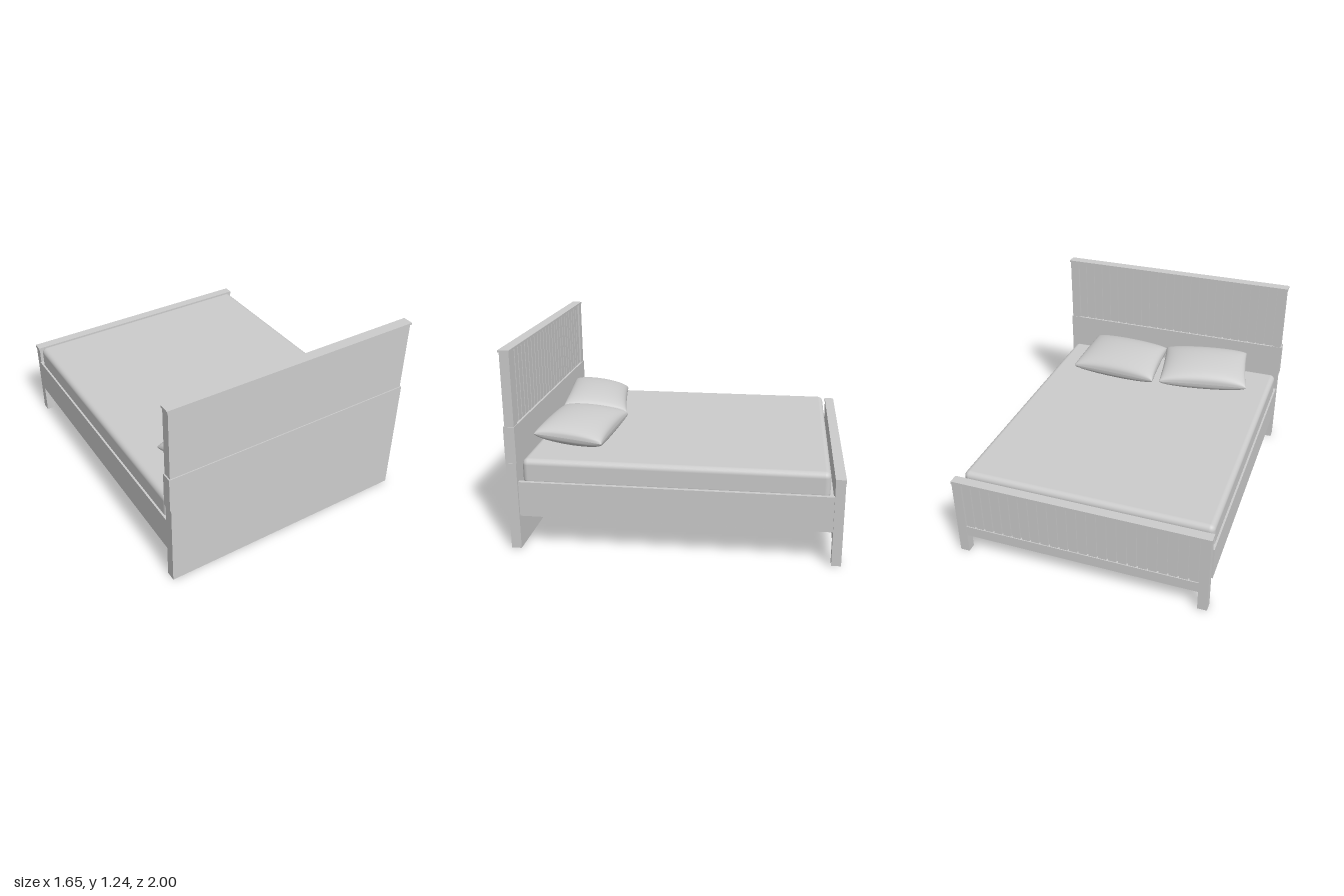
import * as THREE from 'three';
import { RoundedBoxGeometry } from 'three/addons/geometries/RoundedBoxGeometry.js';

const material = new THREE.MeshStandardMaterial({ color: 0xcccccc });

function addMesh(parent, name, geometry) {
  const mesh = new THREE.Mesh(geometry, material);
  mesh.name = name;
  parent.add(mesh);
  return mesh;
}

// Box given by its two extreme corners
function addBox(parent, name, [x0, y0, z0], [x1, y1, z1]) {
  const mesh = addMesh(parent, name, new THREE.BoxGeometry(x1 - x0, y1 - y0, z1 - z0));
  mesh.position.set((x0 + x1) / 2, (y0 + y1) / 2, (z0 + z1) / 2);
}

// Row of vertical planks separated by narrow grooves
function addPlanks(parent, x0, x1, y0, y1, z0, z1, count) {
  const pitch = (x1 - x0) / count;
  const groove = 0.011;
  for (let i = 0; i < count; i++) {
    const x = x0 + i * pitch;
    addBox(parent, 'plank', [x + groove / 2, y0, z0], [x + pitch - groove / 2, y1, z1]);
  }
}

// Plump cushion spanned between four seam corners, with edges drawn slightly inward
function pillowGeometry(frontRight, frontLeft, backLeft, backRight, thickness) {
  const corners = [frontRight, frontLeft, backLeft, backRight].map((c) => new THREE.Vector3(...c));
  const n = 28;
  const positions = [];
  const indices = [];
  const ease = (t) => Math.sin((t * Math.PI) / 2);
  const point = (i, j, side) => {
    const u = ease((2 * i) / n - 1);
    const v = ease((2 * j) / n - 1);
    const a = (u * (1 - 0.025 * (1 - v * v)) + 1) / 2;
    const b = (v * (1 - 0.03 * (1 - u * u)) + 1) / 2;
    const near = corners[0].clone().lerp(corners[1], a);
    const far = corners[3].clone().lerp(corners[2], a);
    const p = near.lerp(far, b);
    p.y += side * thickness * Math.pow(Math.max(0, (1 - u * u) * (1 - v * v)), 0.36);
    return p;
  };
  for (const side of [1, -1]) {
    const base = positions.length / 3;
    for (let j = 0; j <= n; j++) {
      for (let i = 0; i <= n; i++) positions.push(...point(i, j, side).toArray());
    }
    for (let j = 0; j < n; j++) {
      for (let i = 0; i < n; i++) {
        const a = base + j * (n + 1) + i;
        const b = a + 1;
        const c = a + n + 1;
        const d = c + 1;
        if (side > 0) indices.push(a, b, c, b, d, c);
        else indices.push(a, c, b, b, c, d);
      }
    }
  }
  const geometry = new THREE.BufferGeometry();
  geometry.setAttribute('position', new THREE.Float32BufferAttribute(positions, 3));
  geometry.setIndex(indices);
  geometry.computeVertexNormals();
  return geometry;
}

function createHeadboard() {
  const group = new THREE.Group();
  group.name = 'headboard';
  addBox(group, 'lowerPanel', [-0.82, 0, 0.936], [0.825, 0.555, 0.998]);
  addBox(group, 'middleBand', [-0.828, 0.555, 0.933], [0.822, 0.78, 1]);
  addBox(group, 'backing', [-0.82, 0.78, 0.96], [0.815, 1.228, 0.994]);
  for (const [x0, x1] of [[-0.82, -0.76], [0.755, 0.815]]) {
    addBox(group, 'stile', [x0, 0.78, 0.936], [x1, 1.228, 0.994]);
  }
  addPlanks(group, -0.76, 0.755, 0.78, 1.228, 0.946, 0.962, 24);
  addBox(group, 'topCap', [-0.828, 1.228, 0.933], [0.822, 1.24, 1]);
  return group;
}

function createFootboard() {
  const group = new THREE.Group();
  group.name = 'footboard';
  for (const [x0, x1] of [[-0.812, -0.752], [0.762, 0.822]]) {
    addBox(group, 'leg', [x0, 0, -0.998], [x1, 0.525, -0.94]);
  }
  addBox(group, 'backing', [-0.752, 0.13, -0.976], [0.762, 0.525, -0.942]);
  addBox(group, 'bottomRail', [-0.752, 0.13, -0.995], [0.762, 0.2, -0.942]);
  addPlanks(group, -0.752, 0.762, 0.2, 0.525, -0.989, -0.974, 24);
  addBox(group, 'topCap', [-0.817, 0.525, -1], [0.825, 0.545, -0.938]);
  return group;
}

function createFrame() {
  const group = new THREE.Group();
  group.name = 'bedFrame';
  addBox(group, 'rightRail', [-0.82, 0.21, -0.94], [-0.795, 0.43, 0.94]);
  addBox(group, 'leftRail', [0.785, 0.21, -0.94], [0.81, 0.43, 0.94]);
  addBox(group, 'base', [-0.8, 0.21, -0.94], [0.79, 0.4, 0.94]);
  return group;
}

function createMattress() {
  const geometry = new RoundedBoxGeometry(1.592, 0.165, 1.835, 5, 0.035);
  const mesh = new THREE.Mesh(geometry, material);
  mesh.name = 'mattress';
  mesh.position.set(-0.012, 0.4825, 0);
  return mesh;
}

export function createModel() {
  const model = new THREE.Group();
  model.name = 'bed';
  model.add(createHeadboard(), createFootboard(), createFrame(), createMattress());

  // Two loosely placed pillows; the first leans on the headboard
  addMesh(model, 'rightPillow', pillowGeometry(
    [-0.58, 0.69, 0.93], [0.02, 0.67, 0.86], [-0.05, 0.62, 0.44], [-0.66, 0.62, 0.55], 0.09));
  addMesh(model, 'leftPillow', pillowGeometry(
    [0.015, 0.665, 0.855], [0.585, 0.66, 0.895], [0.615, 0.62, 0.465], [-0.005, 0.625, 0.42], 0.088));
  return model;
}
